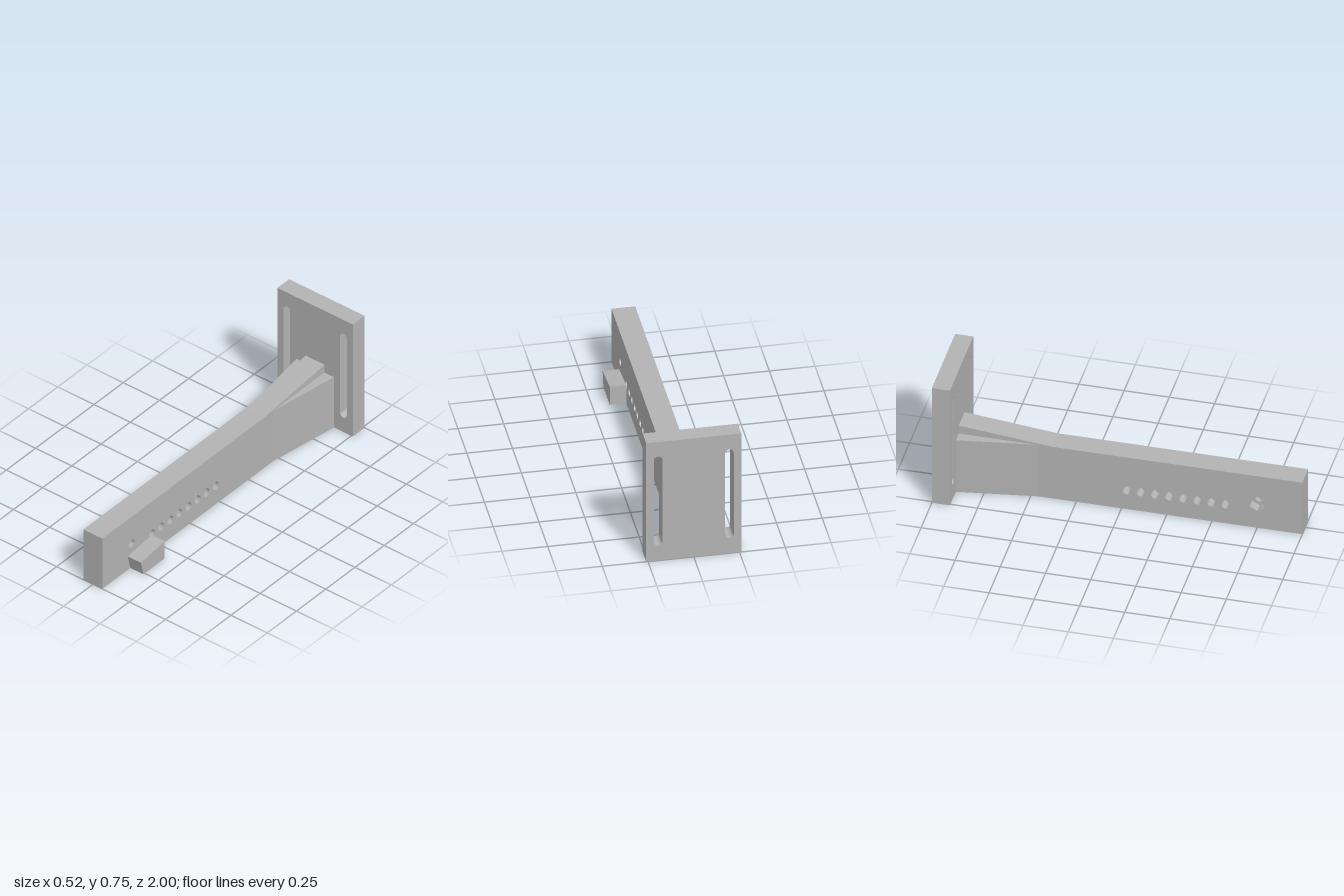
import * as THREE from 'three';

export function createModel() {
  const model = new THREE.Group();
  const grey = new THREE.MeshStandardMaterial({ color: 0xb3b3b3 });
  grey.name = 'grey';

  const add = (name, geometry) => {
    const mesh = new THREE.Mesh(geometry, grey);
    mesh.name = name;
    model.add(mesh);
  };
  const outline = (points) => new THREE.Shape(points.map(([a, b]) => new THREE.Vector2(a, b)));
  const extrude = (shape, depth) =>
    new THREE.ExtrudeGeometry(shape, { depth, bevelEnabled: false, curveSegments: 12 });
  // Side profile given as [z, y], spanning x0 to x1
  const sideProfile = (points) => outline(points.map(([z, y]) => [-z, y]));
  const acrossX = (shape, x0, x1) => extrude(shape, x1 - x0).rotateY(Math.PI / 2).translate(x0, 0, 0);

  const W = 0.065, H = 0.338, BACK = -0.9;

  // Hole outlines in the arm's side plane
  const roundHole = (z, y, r) => new THREE.Path().absarc(-z, y, r, 0, Math.PI * 2);
  const hexHole = (z, y, r) => new THREE.Path(Array.from({ length: 6 }, (_, i) => {
    const a = Math.PI / 6 + i * Math.PI / 3;
    return new THREE.Vector2(-z + r * Math.cos(a), y + r * Math.sin(a));
  }));
  const teardropHole = (z, y, r) => {
    const path = new THREE.Path();
    path.absarc(-z, y, r, Math.PI * 0.75, Math.PI * 2.25);
    path.lineTo(-z, y + r * 1.35);
    path.closePath();
    return path;
  };

  // Arm with raised rear ramp; the thin layer holds the hexagonal nut recess
  const armLayer = (frontHole) => {
    const shape = sideProfile([[1, 0], [BACK, 0], [BACK, 0.39], [-0.38, H], [1, H]]);
    shape.holes.push(frontHole);
    for (let i = 0; i < 8; i++) shape.holes.push(teardropHole(0.575 - i * 0.078, 0.12, 0.024));
    return shape;
  };
  const recess = -W + 0.055;
  add('armNutSide', acrossX(armLayer(hexHole(0.75, 0.157, 0.047)), -W, recess));
  add('armBoltSide', acrossX(armLayer(roundHole(0.75, 0.157, 0.024)), recess, W));

  // Side gussets widening towards the plate
  for (const s of [-1, 1]) {
    const shape = outline([[s * W, 0.46], [s * W, -BACK], [s * 0.13, -BACK]]);
    add(s < 0 ? 'rightGusset' : 'leftGusset', extrude(shape, H).rotateX(-Math.PI / 2));
  }

  // Stop block on the arm's side
  add('stopBlock', acrossX(
    sideProfile([[0.578, 0], [0.578, 0.115], [0.782, 0.09], [0.76, 0]]), W, 0.155));

  // Mounting plate with two long slots
  const plate = outline([[-0.26, 0], [0.26, 0], [0.26, 0.753], [-0.26, 0.753]]);
  const r = 0.0235;
  for (const x of [-0.195, 0.195]) {
    const slot = new THREE.Path();
    slot.absarc(x, 0.66 - r, r, 0, Math.PI);
    slot.absarc(x, 0.095 + r, r, Math.PI, Math.PI * 2);
    slot.closePath();
    plate.holes.push(slot);
  }
  add('mountingPlate', extrude(plate, 0.1).translate(0, 0, -1));

  return model;
}
